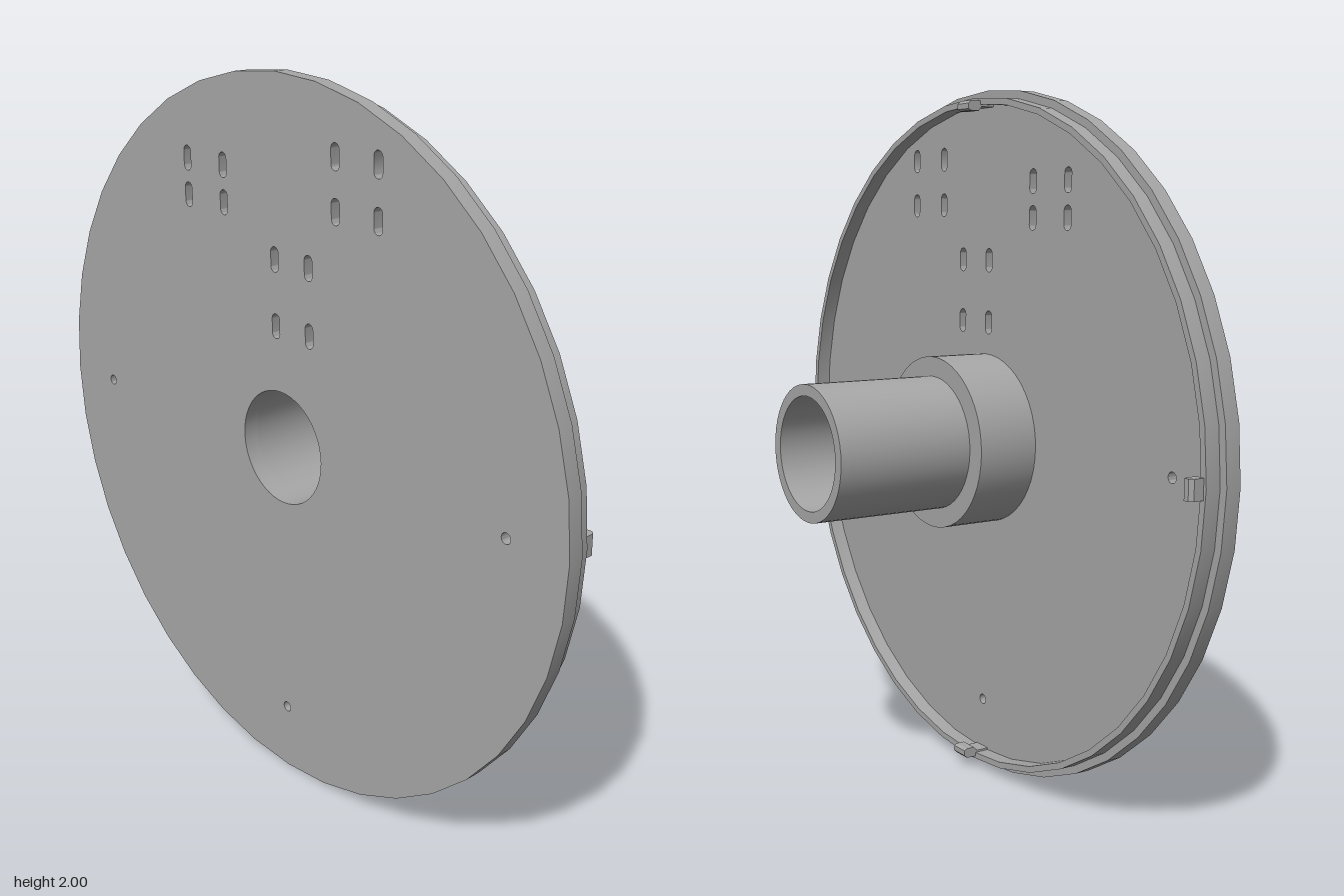
import * as THREE from 'three';
import { toCreasedNormals } from 'three/addons/utils/BufferGeometryUtils.js';

const CREASE = 0.6;

// Regular polygon path around (x, y)
function ring(PathType, x, y, radius, sides) {
  const points = [];
  for (let i = 0; i < sides; i++) {
    const a = (i / sides) * Math.PI * 2;
    points.push(new THREE.Vector2(x + radius * Math.cos(a), y + radius * Math.sin(a)));
  }
  return new PathType(points);
}

// Upright slot with rounded ends
function slot(x, y, width = 0.03, height = 0.068) {
  const r = width / 2, h = height / 2 - r;
  const path = new THREE.Path();
  path.absarc(x, y + h, r, 0, Math.PI, false);
  path.absarc(x, y - h, r, Math.PI, Math.PI * 2, false);
  path.closePath();
  return path;
}

// Profile of [radius, z] points turned about the z axis
function turned(profile, sides) {
  const geometry = new THREE.LatheGeometry(profile.map(([r, z]) => new THREE.Vector2(r, z)), sides);
  geometry.rotateX(Math.PI / 2);
  return toCreasedNormals(geometry, CREASE);
}

export function createModel() {
  const model = new THREE.Group();
  model.name = 'flangedHubDisc';
  const grey = new THREE.MeshStandardMaterial({ color: 0xa6a6a6 });
  grey.name = 'grey';

  const body = new THREE.Group();
  body.name = 'body';
  body.position.y = 1;
  model.add(body);

  const add = (name, geometry) => {
    const mesh = new THREE.Mesh(geometry, grey);
    mesh.name = name;
    body.add(mesh);
    return mesh;
  };

  // Face plate with bore, three groups of four slots and three pin holes
  const plate = ring(THREE.Shape, 0, 0, 1, 40);
  plate.holes.push(ring(THREE.Path, 0, 0, 0.16, 48));
  const slotGroups = [
    { xs: [-0.375, -0.22], ys: [0.74, 0.64] },
    { xs: [0.225, 0.377], ys: [0.815, 0.68] },
    { xs: [-0.013, 0.12], ys: [0.52, 0.34] },
  ];
  for (const { xs, ys } of slotGroups) {
    for (const x of xs) for (const y of ys) plate.holes.push(slot(x, y));
  }
  for (const [x, y] of [[-0.81, 0], [0.81, 0], [0, -0.805]]) {
    plate.holes.push(ring(THREE.Path, x, y, 0.015, 12));
  }
  const plateGeometry = new THREE.ExtrudeGeometry(plate, { depth: 0.045, bevelEnabled: false, curveSegments: 8 });
  plateGeometry.translate(0, 0, 0.275);
  add('facePlate', toCreasedNormals(plateGeometry, CREASE));

  // Thin raised rim on the back
  add('rim', turned([[0.96, 0.275], [0.96, 0.23], [0.978, 0.23], [0.978, 0.275]], 40));

  // Hollow hub: wide collar stepping down to the shaft
  add('hub', turned([
    [0.16, 0.275], [0.16, -0.32], [0.192, -0.32], [0.192, 0.09], [0.248, 0.09], [0.248, 0.275],
  ], 48));

  // Four small clips standing on the rim
  const clip = new THREE.Shape([
    [0.94, 0.2], [0.945, 0.19], [0.96, 0.19], [0.969, 0.2], [0.969, 0.275], [0.952, 0.275], [0.952, 0.235], [0.94, 0.225],
  ].map(([r, z]) => new THREE.Vector2(r, z)));
  const clipGeometry = new THREE.ExtrudeGeometry(clip, { depth: 0.055, bevelEnabled: false });
  clipGeometry.translate(0, 0, -0.0275);
  clipGeometry.rotateX(Math.PI / 2);
  for (let i = 0; i < 4; i++) {
    add('clip' + (i + 1), clipGeometry).rotation.z = (i * Math.PI) / 2;
  }

  return model;
}
